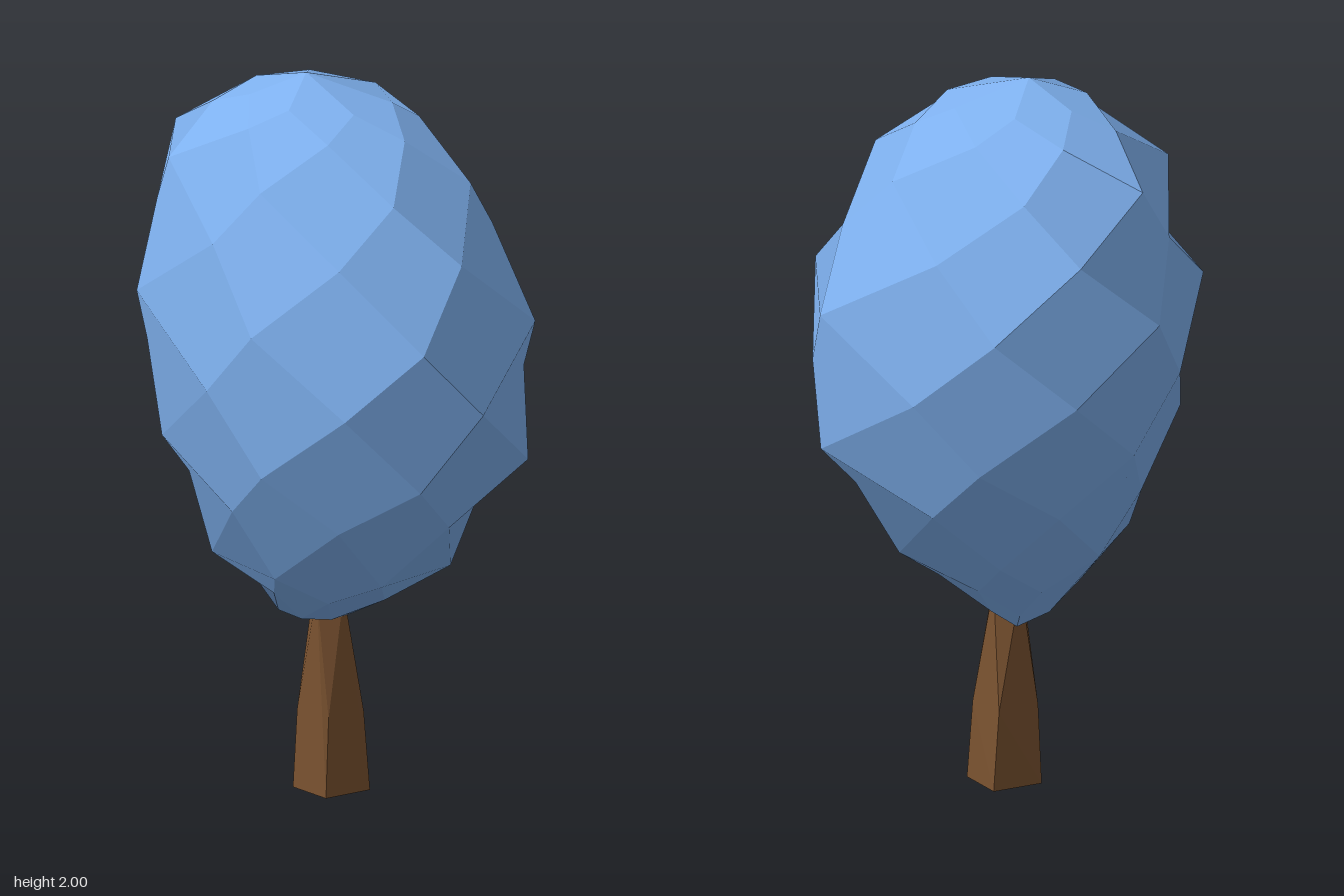
import * as THREE from 'three';
import { ConvexGeometry } from 'three/addons/geometries/ConvexGeometry.js';

// Point i on an elliptical ring: [y, centreX, centreZ, radiusX, radiusZ, turn in steps],
// counted from the back towards +x.
function ringPoint([y, cx, cz, rx, rz, turn], i, sides) {
  const a = ((i + turn) / sides) * Math.PI * 2;
  return new THREE.Vector3(cx + rx * Math.sin(a), y, cz - rz * Math.cos(a));
}

// Skin half-step-turned rings (top to bottom, poles at both ends) with diamonds.
// Each diamond is folded across its width and shaded as one facet.
function diamondSkin(rings, sides) {
  const corner = (k, i) => {
    const p = ringPoint(rings[k], i, sides);
    p.y -= 0.05 * p.z; // rings rise slightly towards the back
    if (p.z > 0) p.x -= 0.27 * p.z * p.z; // the front bulges to one side
    else p.z -= 0.11 * p.x; // the back is skewed
    return p;
  };
  const points = [], normals = [];
  for (let k = 1; k < rings.length - 1; k++) {
    for (let i = 0; i < sides; i++) {
      const top = corner(k - 1, i + 1), bottom = corner(k + 1, i);
      const left = corner(k, i + 1), right = corner(k, i);
      // the column down the middle of the back is folded along its height instead
      if (k % 2 === 0 && (i + k / 2) % sides === 0) points.push(top, left, bottom, top, bottom, right);
      else points.push(top, left, right, left, bottom, right);
      const normal = right.clone().sub(left).cross(top.clone().sub(bottom)).normalize();
      for (let n = 0; n < 6; n++) normals.push(...normal.toArray());
    }
  }
  const geometry = new THREE.BufferGeometry().setFromPoints(points);
  geometry.setAttribute('normal', new THREE.Float32BufferAttribute(normals, 3));
  return geometry;
}

function part(name, geometry, color) {
  const mesh = new THREE.Mesh(geometry, new THREE.MeshStandardMaterial({ color }));
  mesh.name = name;
  return mesh;
}

export function createModel() {
  const tree = new THREE.Group();
  tree.name = 'tree';

  // Crown: seven-sided rings, each turned half a step further
  const crownRings = [
    [2.0, -0.04, -0.06, 0, 0],
    [1.945, -0.02, -0.03, 0.19, 0.218],
    [1.88, -0.01, -0.04, 0.25, 0.32],
    [1.765, -0.025, -0.035, 0.38, 0.49],
    [1.59, 0.0, -0.01, 0.42, 0.52],
    [1.41, 0.0, 0.02, 0.55, 0.635],
    [1.2, 0.0, 0.03, 0.49, 0.58],
    [1.02, -0.005, 0.06, 0.53, 0.57],
    [0.85, -0.015, 0.03, 0.39, 0.44],
    [0.69, -0.045, 0.03, 0.34, 0.365],
    [0.585, -0.03, 0.0, 0.19, 0.22],
    [0.5, -0.03, -0.04, 0.1, 0.11],
    [0.46, 0.03, -0.08, 0, 0],
  ].map((ring, k) => [...ring, (k - 1) / 2]);
  tree.add(part('crown', diamondSkin(crownRings, 7), 0x7eb0ee));

  // Trunk: square foot twisting into a narrower diamond-set top
  const trunkRings = [
    [0.56, -0.018, 0.005, 0.052, 0.052, 0],
    [0.22, -0.005, 0, 0.09, 0.09, 0.6],
    [0, -0.003, 0.002, 0.105, 0.105, 0.655],
  ];
  const trunkPoints = trunkRings.flatMap((ring) => [0, 1, 2, 3].map((i) => ringPoint(ring, i, 4)));
  tree.add(part('trunk', new ConvexGeometry(trunkPoints), 0x7a5230));

  return tree;
}
